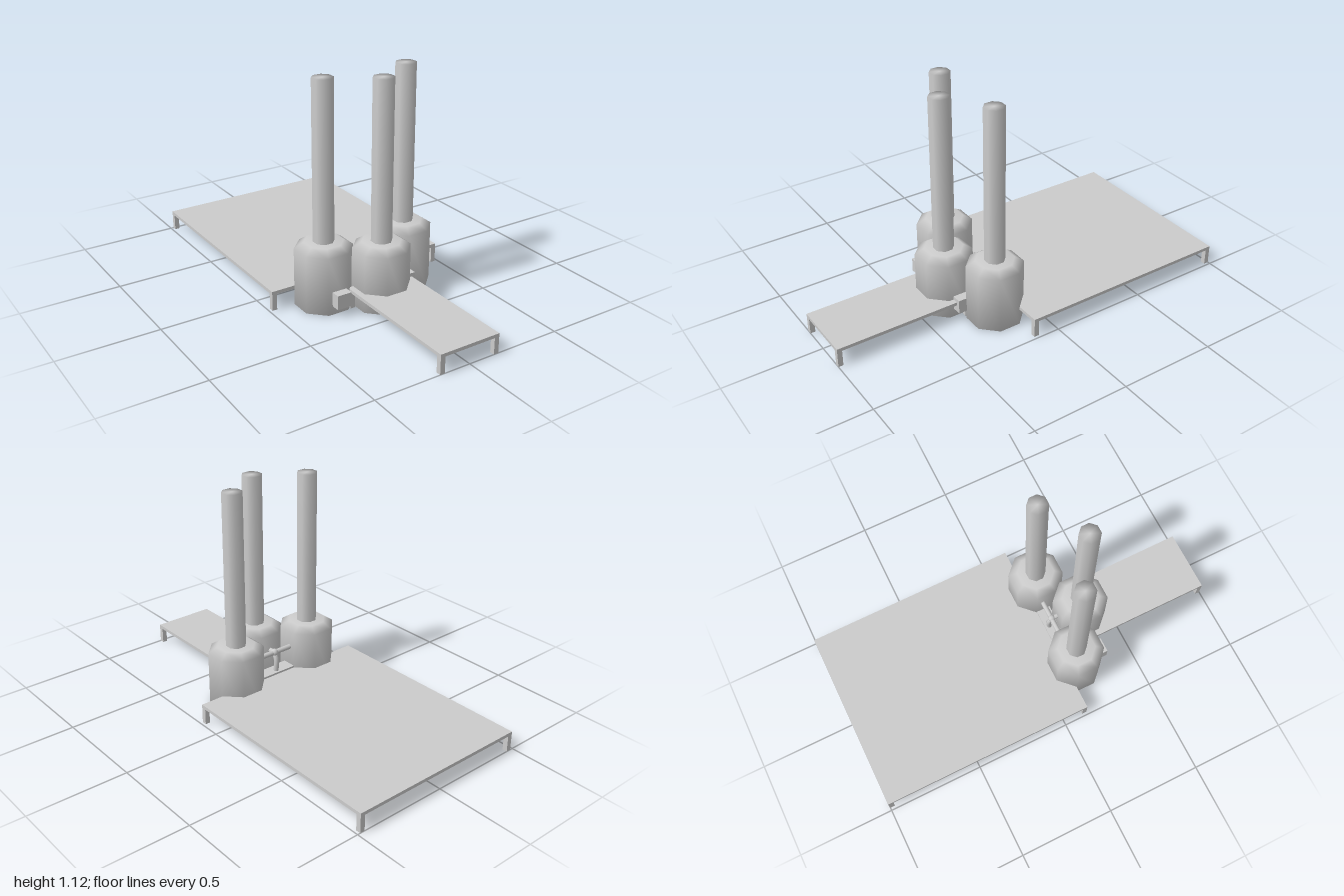
import * as THREE from 'three';

const mat = new THREE.MeshStandardMaterial({ color: 0xcccccc });

function add(parent, name, geometry, x = 0, y = 0, z = 0) {
  const mesh = new THREE.Mesh(geometry, mat);
  mesh.name = name;
  mesh.position.set(x, y, z);
  parent.add(mesh);
  return mesh;
}

function box(parent, name, x0, x1, y0, y1, z0, z1) {
  return add(parent, name, new THREE.BoxGeometry(x1 - x0, y1 - y0, z1 - z0),
    (x0 + x1) / 2, (y0 + y1) / 2, (z0 + z1) / 2);
}

// Eight-sided smooth turned solid; profile radii are measured to the flats
function octagon(points) {
  const k = 1 / Math.cos(Math.PI / 8);
  return new THREE.LatheGeometry(points.map(([r, y]) => new THREE.Vector2(r * k, y)), 8)
    .rotateY(Math.PI / 8);
}

// Thin deck standing on a square leg at each corner
function platform(name, halfWidth, z0, z1) {
  const g = new THREE.Group();
  g.name = name;
  const t = 0.025;
  box(g, 'deck', -halfWidth, halfWidth, 0.083, 0.1, z0, z1);
  for (const x of [-halfWidth, halfWidth - t])
    for (const z of [z0, z1 - t]) box(g, 'leg', x, x + t, 0, 0.084, z, z + t);
  return g;
}

// Vessel with sloped shoulders and a tall stack
function tower(name, x, z) {
  const g = new THREE.Group();
  g.name = name;
  g.position.set(x, 0, z);
  add(g, 'vessel', octagon([[0, 0], [0.132, 0], [0.132, 0.295], [0.09, 0.325], [0, 0.325]]));
  add(g, 'stack', octagon([[0.048, 0.31], [0.048, 1.125], [0, 1.125]]));
  return g;
}

function pipe(parent, name, pts, r) {
  const curve = new THREE.CatmullRomCurve3(pts.map(p => new THREE.Vector3(...p)));
  return add(parent, name, new THREE.TubeGeometry(curve, 8, r, 8));
}

export function createModel() {
  const model = new THREE.Group();
  model.name = 'plant';

  model.add(platform('rearPlatform', 0.485, -1, 0.13));
  model.add(platform('frontWalkway', 0.162, 0.288, 1));

  model.add(tower('rightTower', -0.232, 0.185));
  model.add(tower('leftTower', 0.229, 0.185));
  model.add(tower('frontTower', 0, 0.33));

  // Small boxes on the front of the side vessels
  box(model, 'rightControlBox', -0.266, -0.19, 0.045, 0.118, 0.29, 0.363);
  box(model, 'leftControlBox', 0.106, 0.181, 0.045, 0.118, 0.285, 0.36);

  // Link between the three vessels: beam, cross pipe and curved branch
  box(model, 'linkBeam', -0.15, 0.15, 0.05, 0.11, 0.13, 0.205);
  pipe(model, 'crossPipe', [[-0.12, 0.21, 0.165], [0.12, 0.21, 0.165]], 0.013);
  pipe(model, 'branchPipe',
    [[0, 0.1, 0.155], [0, 0.17, 0.15], [0, 0.205, 0.17], [0, 0.21, 0.22]], 0.013);
  add(model, 'pipeJoint', new THREE.SphereGeometry(0.019, 10, 8), 0, 0.21, 0.165);

  return model;
}
